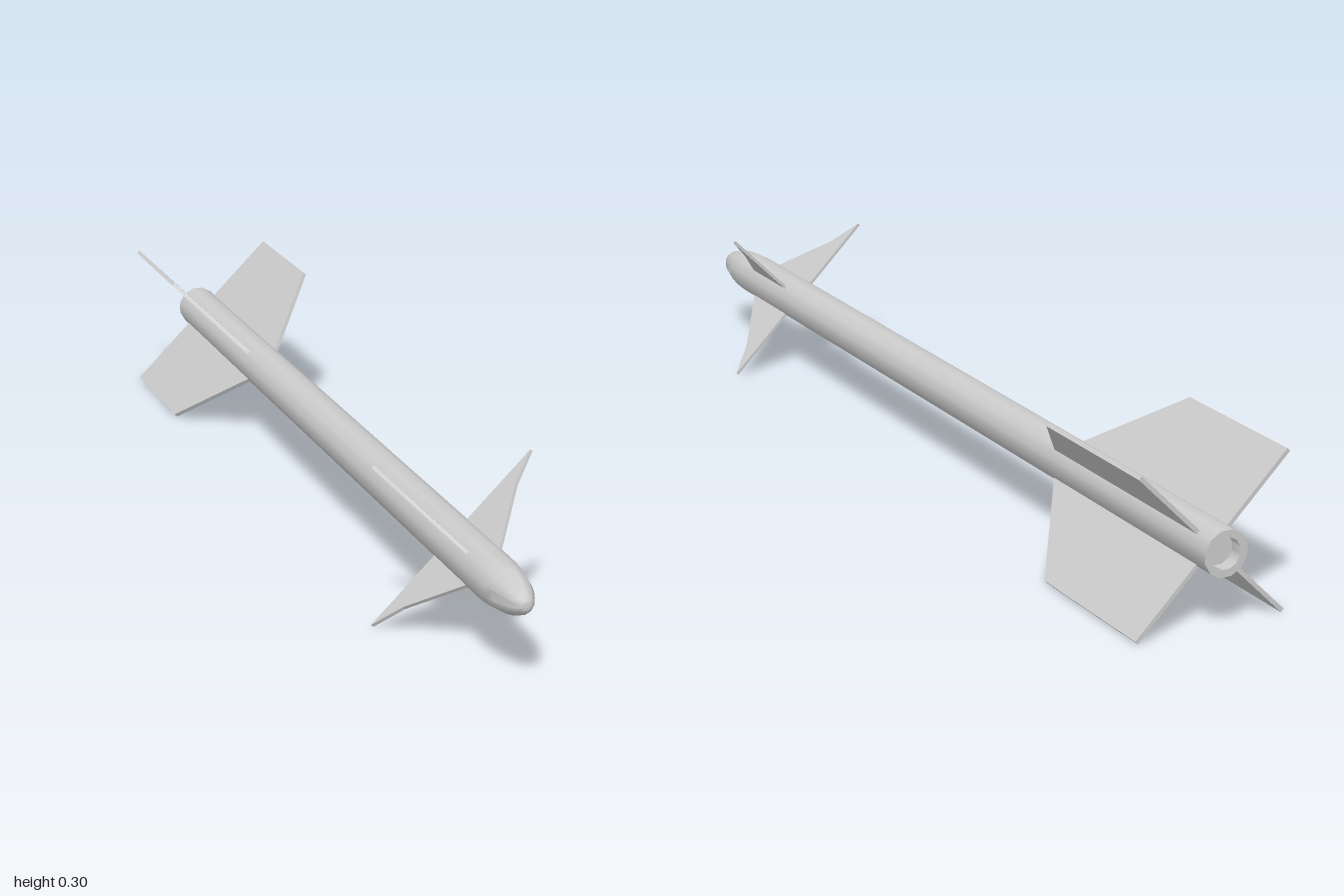
import * as THREE from 'three';
import { toCreasedNormals } from 'three/addons/utils/BufferGeometryUtils.js';

const AXIS_Y = 0.149; // height of the body axis
const RADIUS = 0.0432;
const NOSE_START = 0.85;

const material = new THREE.MeshStandardMaterial({ color: 0xcccccc });

// Twelve-sided tube with a recessed tail and a rounded nose
function makeBody() {
  const profile = [[0, -0.975], [0.029, -0.975], [0.029, -1], [RADIUS, -1], [RADIUS, NOSE_START]];
  const steps = 8;
  for (let i = 1; i <= steps; i++) {
    const a = (i / steps) * Math.PI / 2;
    profile.push([i === steps ? 0 : RADIUS * Math.cos(a), NOSE_START + (1 - NOSE_START) * Math.sin(a)]);
  }
  const points = profile.map(([r, z]) => new THREE.Vector2(r, z));
  const lathe = new THREE.LatheGeometry(points, 12, Math.PI / 12);
  lathe.rotateX(Math.PI / 2);
  const body = new THREE.Mesh(toCreasedNormals(lathe, 0.75), material);
  body.name = 'body';
  return body;
}

// Four flat fins in an X; the outline is given as [radius, z]
function makeFins(name, outline, thickness) {
  const fins = new THREE.Group();
  fins.name = name + 's';
  const shape = new THREE.Shape(outline.map(([r, z]) => new THREE.Vector2(r, z)));
  const geometry = new THREE.ExtrudeGeometry(shape, { depth: thickness, bevelEnabled: false });
  geometry.translate(0, 0, -thickness / 2);
  geometry.rotateX(Math.PI / 2);
  for (let i = 0; i < 4; i++) {
    const fin = new THREE.Mesh(geometry, material);
    fin.name = name;
    fin.rotation.z = Math.PI / 4 + i * Math.PI / 2;
    fins.add(fin);
  }
  return fins;
}

export function createModel() {
  const model = new THREE.Group();
  model.name = 'missile';
  const parts = new THREE.Group();
  parts.name = 'airframe';
  parts.position.y = AXIS_Y;
  parts.add(
    makeBody(),
    makeFins('tailFin', [[0.036, -0.96], [0.207, -0.96], [0.207, -0.66], [0.036, -0.485]], 0.008),
    makeFins('noseFin', [[0.036, 0.647], [0.207, 0.647], [0.145, 0.69], [0.036, 0.81]], 0.006),
  );
  model.add(parts);
  return model;
}
